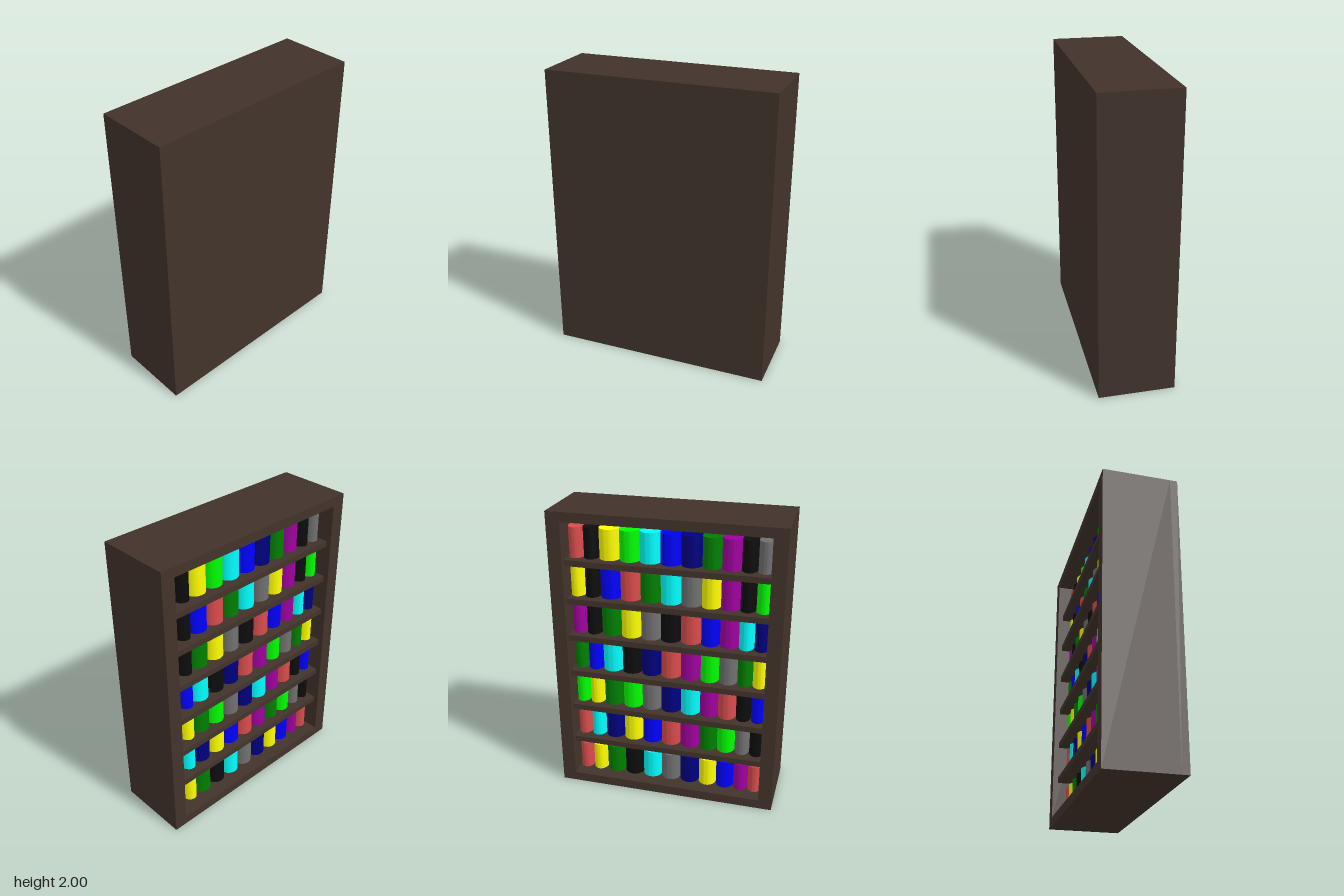
import * as THREE from 'three';
import { toCreasedNormals } from 'three/addons/utils/BufferGeometryUtils.js';

const WIDTH = 1.525, HEIGHT = 2, DEPTH = 0.506; // case along z, y, x; open towards -x
const SIDE = 0.0925, RIM = 0.065, BACK = 0.05;  // wall thicknesses
const SHELF = 0.04, BOOK_H = 0.205;
const COVER_X = -0.098, BOOK_D = 0.26, BULGE = 0.068; // covers end at COVER_X, spine bulges past it

const mat = (color) => new THREE.MeshStandardMaterial({ color });
const wood = mat(0x41332b);
const covers = {
  y: mat(0xffff00), l: mat(0x00ff00), c: mat(0x00ffff), b: mat(0x0000ff), n: mat(0x000080),
  g: mat(0x008000), m: mat(0xa000a0), k: mat(0x0d0d0d), s: mat(0x707070), r: mat(0xd94c4c),
};

// cover colours of each row from the bottom up, running from -z to +z
const rows = [
  'rygkcsnybmr',
  'rrcnybrmglsk',
  'rlyglsncmrkb',
  'rgbcknrmlsgy',
  'rmkgyskrbmcn',
  'rykbrgcsymkl',
  'rrkylcbngmks',
].map((r) => r.slice(-11));

// edges between neighbouring books
const edges = [-0.67, -0.57, -0.465, -0.328, -0.192, -0.056, 0.081, 0.217, 0.342, 0.467, 0.57, 0.67];

function add(parent, name, geometry, material, x = 0, y = 0, z = 0) {
  const mesh = new THREE.Mesh(geometry, material);
  mesh.name = name;
  mesh.position.set(x, y, z);
  parent.add(mesh);
}

// rectangular frame with one opening, extruded through the depth of the case
function frameGeometry() {
  const rect = (P, w, y0, y1) => new P().moveTo(-w, y0).lineTo(w, y0).lineTo(w, y1).lineTo(-w, y1).closePath();
  const shape = rect(THREE.Shape, WIDTH / 2, 0, HEIGHT);
  shape.holes.push(rect(THREE.Path, WIDTH / 2 - SIDE, RIM, HEIGHT - RIM));
  const g = new THREE.ExtrudeGeometry(shape, { depth: DEPTH - BACK, bevelEnabled: false });
  return g.rotateY(-Math.PI / 2);
}

// upright book with a half-round spine facing -x
function bookGeometry(width) {
  const h = width / 2;
  const s = new THREE.Shape();
  s.moveTo(BOOK_D, -h).lineTo(BOOK_D, h).lineTo(0, h);
  s.absellipse(0, 0, BULGE, h, Math.PI / 2, Math.PI * 1.5, false);
  s.closePath();
  const g = new THREE.ExtrudeGeometry(s, { depth: BOOK_H, bevelEnabled: false, curveSegments: 12 });
  return toCreasedNormals(g.rotateX(-Math.PI / 2), 0.6);
}

export function createModel() {
  const model = new THREE.Group();
  model.name = 'bookcase';

  // case
  add(model, 'caseFrame', frameGeometry(), wood, DEPTH / 2 - BACK);
  add(model, 'backPanel', new THREE.BoxGeometry(BACK, HEIGHT, WIDTH), wood, DEPTH / 2 - BACK / 2, HEIGHT / 2);

  // shelves, set back a little from the rim
  const shelfTop = (i) => (i === 0 ? RIM : 0.356 + (i - 1) * 0.264);
  const front = -0.218, rear = DEPTH / 2 - BACK;
  const shelf = new THREE.BoxGeometry(rear - front, SHELF, WIDTH - 2 * SIDE);
  for (let i = 1; i < rows.length; i++) {
    add(model, 'shelf' + i, shelf, wood, (front + rear) / 2, shelfTop(i) - SHELF / 2);
  }

  // books
  const books = edges.slice(1).map((e, j) => bookGeometry(e - edges[j] - 0.002));
  rows.forEach((row, i) => {
    const group = new THREE.Group();
    group.name = 'bookRow' + (i + 1);
    [...row].forEach((key, j) => {
      add(group, 'book', books[j], covers[key], COVER_X, shelfTop(i), (edges[j] + edges[j + 1]) / 2);
    });
    model.add(group);
  });
  return model;
}
